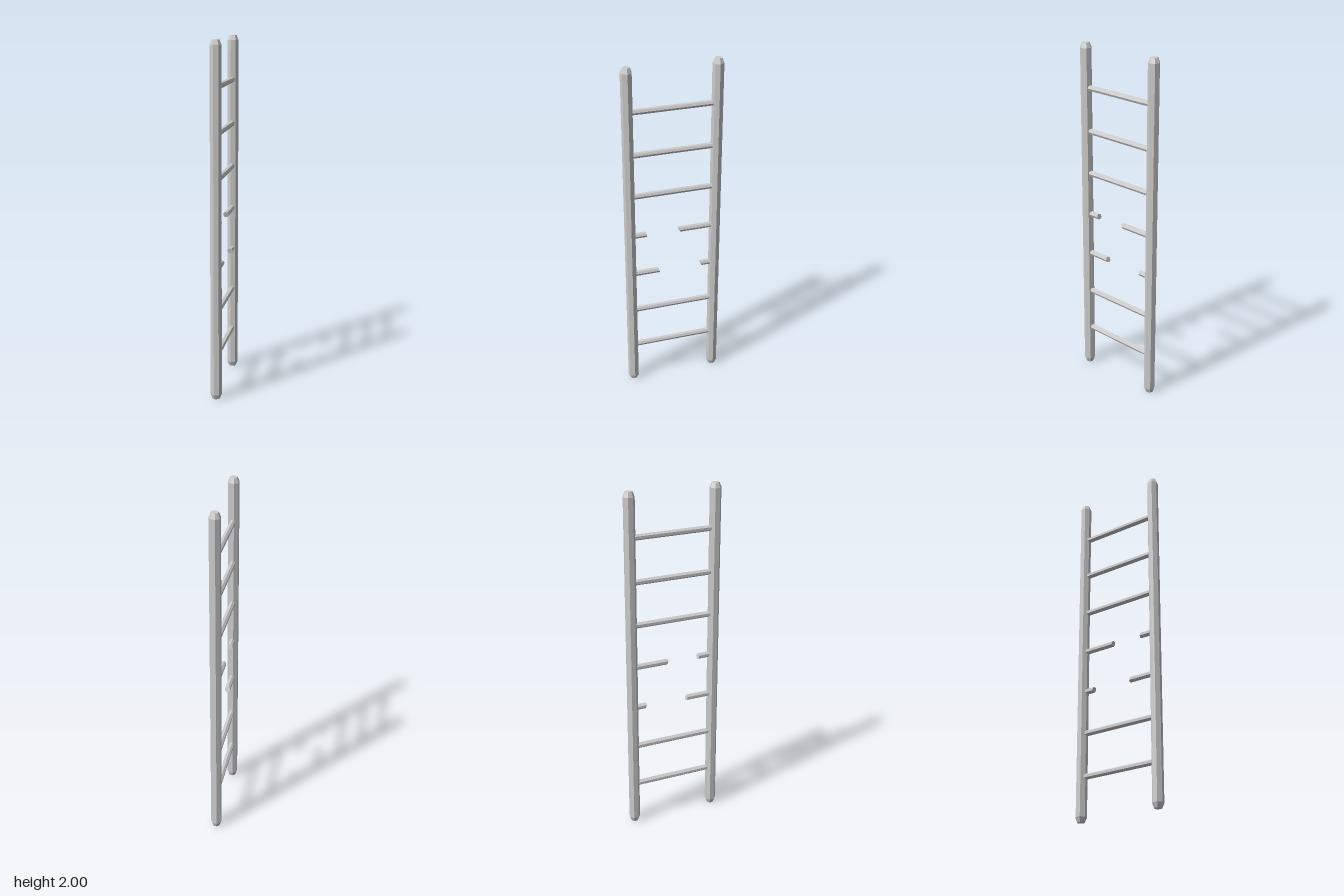
import * as THREE from 'three';

const SIDES = 7;
const SHIFT = -0.0012; // centres the odd-sided poles on x
const material = new THREE.MeshStandardMaterial({ color: 0xcccccc, flatShading: true });

function addMesh(group, geometry, name) {
  const mesh = new THREE.Mesh(geometry, material);
  mesh.name = name;
  group.add(mesh);
  return mesh;
}

// Seven-sided upright with chamfered ends
function railGeometry() {
  const r = 0.0323, cap = 0.021, bevel = 0.028;
  const profile = [[0, 0], [cap, 0], [r, bevel], [r, 2 - bevel], [cap, 2], [0, 2]]
    .map(([x, y]) => new THREE.Vector2(x, y));
  return new THREE.LatheGeometry(profile, SIDES, Math.PI / 2);
}

// Round bar along z from z0 to z1; the slants shear each end into a broken face
function rungGeometry(z0, z1, slant0 = 0, slant1 = 0) {
  const geo = new THREE.CylinderGeometry(0.0165, 0.0165, z1 - z0, SIDES);
  geo.rotateY(Math.PI / 2).rotateX(Math.PI / 2).translate(0, 0, (z0 + z1) / 2);
  const p = geo.attributes.position;
  const mid = (z0 + z1) / 2;
  for (let i = 0; i < p.count; i++) {
    const slant = p.getZ(i) < mid ? slant0 : slant1;
    p.setZ(i, p.getZ(i) + slant * p.getY(i));
  }
  geo.computeVertexNormals();
  return geo;
}

export function createModel() {
  const ladder = new THREE.Group();
  ladder.name = 'ladder';

  // Uprights
  for (const [name, z] of [['frontRail', 0.25], ['backRail', -0.25]]) {
    addMesh(ladder, railGeometry(), name).position.set(SHIFT, 0, z);
  }

  // Whole rungs
  const end = 0.25;
  for (const y of [0.25, 0.5, 1.25, 1.5, 1.75]) {
    addMesh(ladder, rungGeometry(-end, end), 'rung').position.set(SHIFT, y, 0);
  }

  // Snapped rungs: height, front stub end and slant, back stub end and slant
  const broken = [
    [1.0, 0.157, 0.2, -0.036, 0.3],
    [0.75, 0.085, 0.35, -0.17, 0.2],
  ];
  for (const [y, front, frontSlant, back, backSlant] of broken) {
    addMesh(ladder, rungGeometry(front, end, frontSlant, 0), 'brokenRungFront').position.set(SHIFT, y, 0);
    addMesh(ladder, rungGeometry(-end, back, 0, backSlant), 'brokenRungBack').position.set(SHIFT, y, 0);
  }

  return ladder;
}
